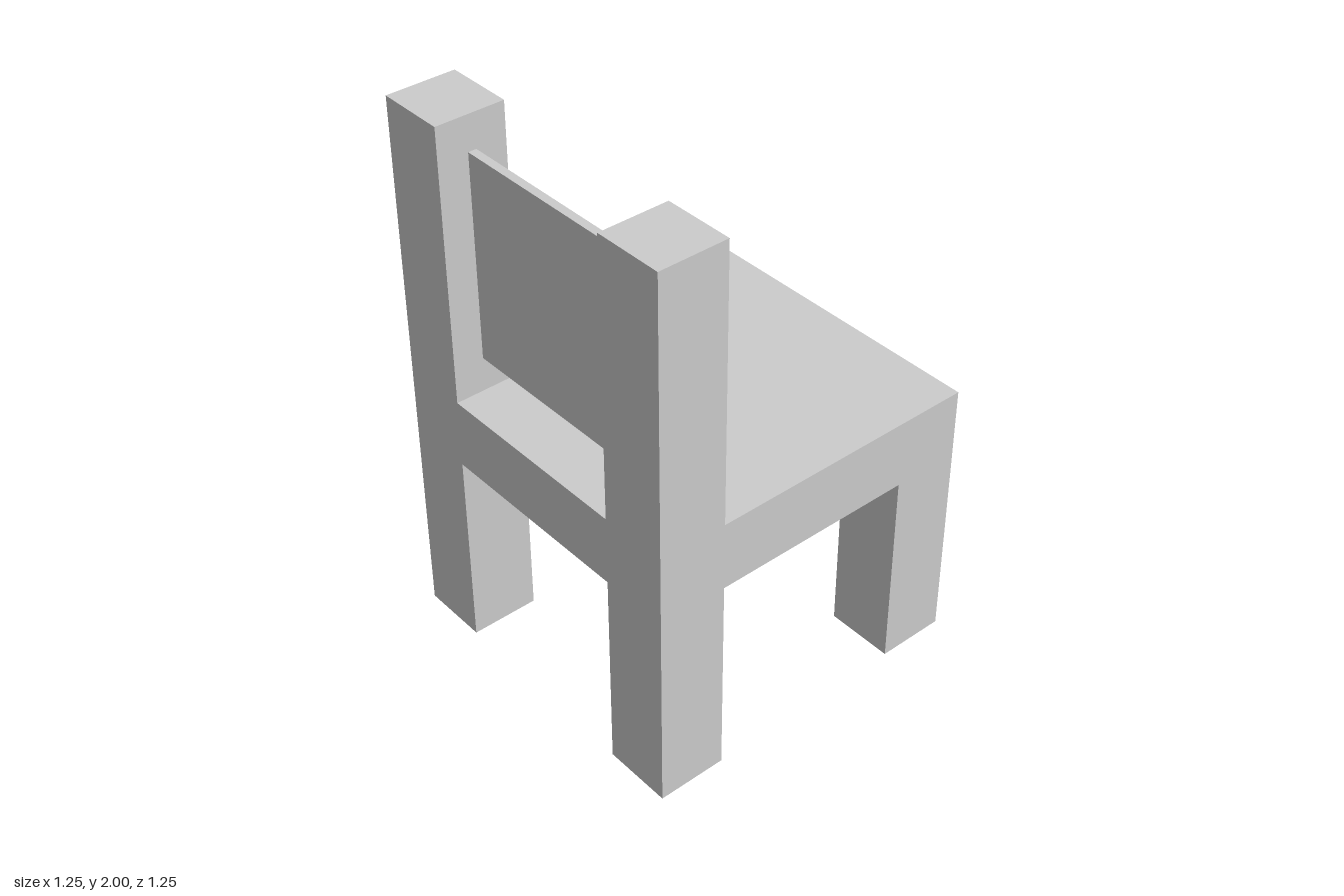
import * as THREE from 'three';

const SIZE = 1.25;        // width and depth of the chair
const POST = 0.25;        // square section of legs and posts
const SEAT_BOTTOM = 0.75;
const SEAT_TOP = 1;
const HEIGHT = 2;

export function createModel() {
  const chair = new THREE.Group();
  chair.name = 'chair';
  const material = new THREE.MeshStandardMaterial({ color: 0xcccccc, flatShading: true });

  // Box standing between two heights
  function addBox(name, width, depth, bottom, top, x, z) {
    const mesh = new THREE.Mesh(new THREE.BoxGeometry(width, top - bottom, depth), material);
    mesh.name = name;
    mesh.position.set(x, (bottom + top) / 2, z);
    chair.add(mesh);
  }

  const offset = (SIZE - POST) / 2;

  // Thick seat, flush with the legs
  addBox('seat', SIZE, SIZE, SEAT_BOTTOM, SEAT_TOP, 0, 0);

  // Legs at the corners; posts rise above the +z pair
  for (const [side, sx] of [['left', 1], ['right', -1]]) {
    const x = sx * offset;
    addBox(`${side}SeatEdgeLeg`, POST, POST, 0, SEAT_BOTTOM, x, -offset);
    addBox(`${side}BackrestLeg`, POST, POST, 0, SEAT_BOTTOM, x, offset);
    addBox(`${side}BackrestPost`, POST, POST, SEAT_TOP, HEIGHT, x, offset);
  }

  // Thin panel between the posts
  addBox('backrestPanel', SIZE - 2 * POST, 0.03, 1.125, 1.875, 0, offset);

  return chair;
}
